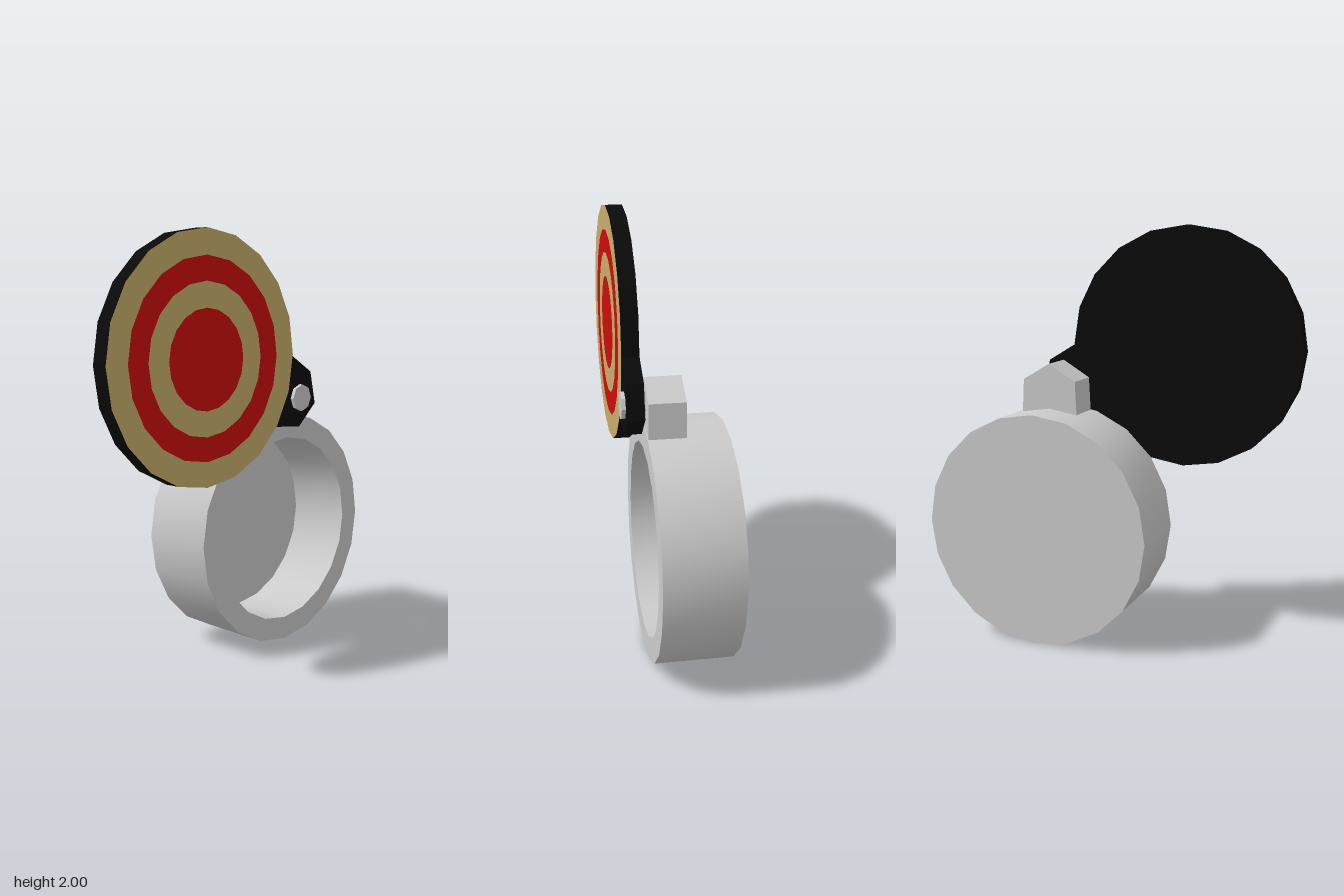
import * as THREE from 'three';
import { toCreasedNormals } from 'three/addons/utils/BufferGeometryUtils.js';

const SIDES = 20;
const RADIUS = 0.565;
const CUP = [0.31, 0.568];
const LID = [-0.31, 1.435];
const PIVOT = [0.31, 1.225];

const mat = (color) => new THREE.MeshStandardMaterial({ color });

export function createModel() {
  const model = new THREE.Group();
  model.name = 'hingedLidCup';
  const grey = mat(0xcccccc);
  const black = mat(0x0a0a0a);
  const tan = mat(0xc8ad6b);
  const red = mat(0xcc0c0c);

  const add = (name, geometry, material, [x, y] = [0, 0], z = 0) => {
    const mesh = new THREE.Mesh(geometry, material);
    mesh.name = name;
    mesh.position.set(x, y, z);
    model.add(mesh);
  };

  // Flat outline extruded forward from the back plane
  const plate = (points, depth) => new THREE.ExtrudeGeometry(
    new THREE.Shape(points.map(([x, y]) => new THREE.Vector2(x, y))),
    { depth, bevelEnabled: false });

  // Disc or stud with its axis along z
  const disc = (radius, depth, sides) =>
    new THREE.CylinderGeometry(radius, radius, depth, sides).rotateX(Math.PI / 2);

  // Hollow round cup, open at the front
  const profile = [[0, -0.23], [RADIUS, -0.23], [RADIUS, 0.13], [0.455, 0.13], [0.455, -0.19], [0, -0.19]]
    .map(([r, z]) => new THREE.Vector2(r, z));
  const cup = new THREE.LatheGeometry(profile, SIDES).rotateX(Math.PI / 2);
  add('cup', toCreasedNormals(cup, Math.PI / 5), grey, CUP);

  // Gabled hinge block on the cup's rim
  add('hingeBlock', plate([
    [0.165, 1.08], [0.455, 1.08], [0.445, 1.27], [0.31, 1.35], [0.175, 1.27],
  ], 0.167), grey, [0, 0], -0.042);

  // Lid swung aside, with its hinge lug
  add('lid', disc(RADIUS, 0.077, SIDES), black, LID, 0.1735);
  add('lidLug', plate([
    [0, 1.11], [0.31, 1.085], [0.425, 1.19], [0.39, 1.345], [0.25, 1.43], [0.1, 1.52],
  ], 0.077), black, [0, 0], 0.135);

  // Concentric target bands on the lid's front
  const bands = [RADIUS, 0.45, 0.34, 0.225, 0];
  for (let i = 0; i < 4; i++) {
    const outer = bands[i], inner = bands[i + 1];
    const face = inner > 0
      ? new THREE.RingGeometry(inner, outer, SIDES)
      : new THREE.CircleGeometry(outer, SIDES);
    add(`targetBand${i + 1}`, face, i % 2 ? red : tan, LID, 0.215);
  }

  // Hinge pin through lug and block
  add('hingePin', toCreasedNormals(disc(0.064, 0.13, 8), 0.5), grey, PIVOT, 0.165);

  return model;
}
